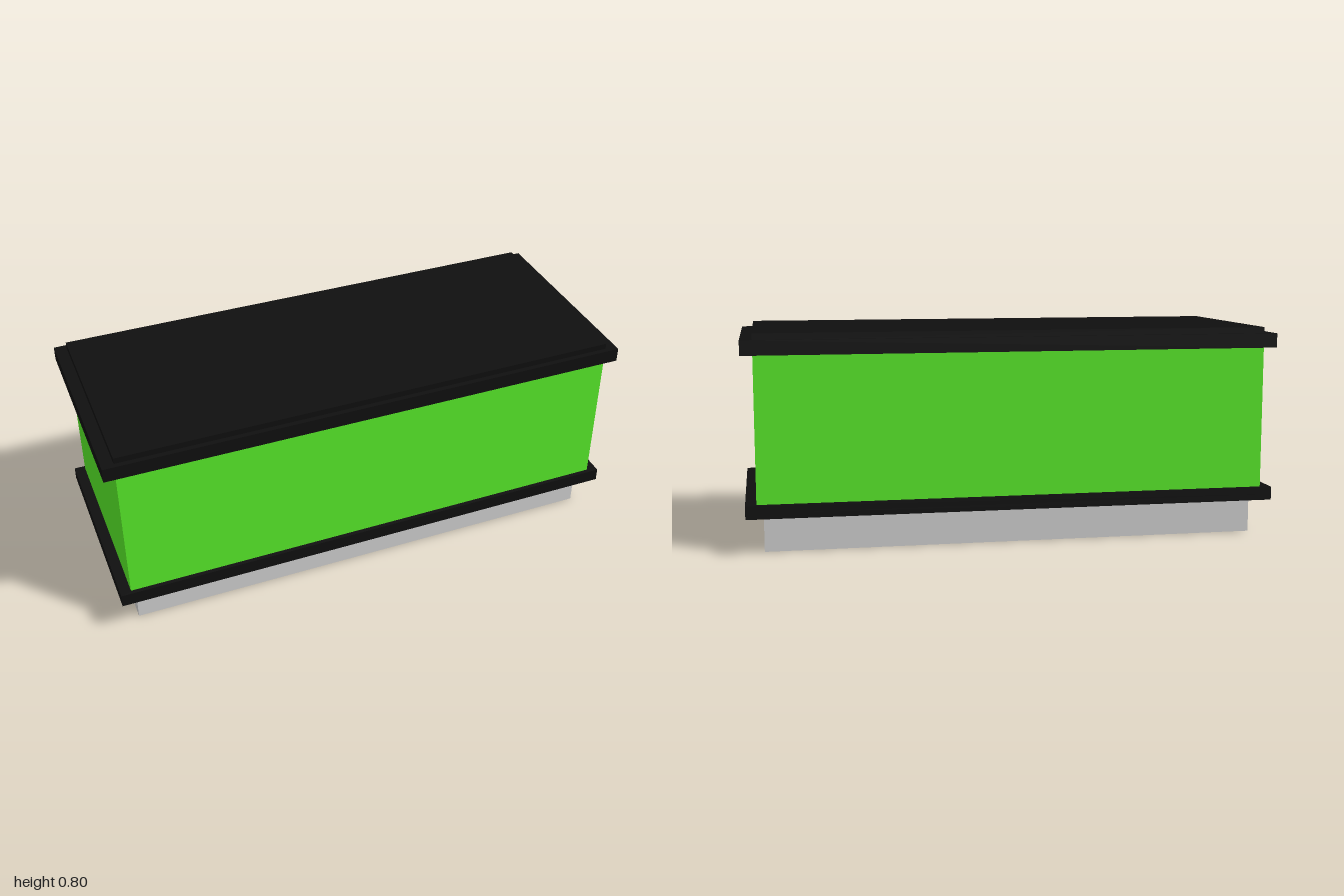
import * as THREE from 'three';

const material = (color) => new THREE.MeshStandardMaterial({ color, side: THREE.DoubleSide });

const rect = (Type, hx, hz) => new Type([
  new THREE.Vector2(-hx, -hz), new THREE.Vector2(hx, -hz),
  new THREE.Vector2(hx, hz), new THREE.Vector2(-hx, hz),
]);

// Flat rectangular frame between two heights; sizes are half extents [x, z]
function frame(name, outer, inner, y0, y1, mat) {
  const shape = rect(THREE.Shape, ...outer);
  shape.holes.push(rect(THREE.Path, ...inner));
  const geo = new THREE.ExtrudeGeometry(shape, { depth: y1 - y0, bevelEnabled: false });
  geo.rotateX(-Math.PI / 2).translate(0, y0, 0);
  const mesh = new THREE.Mesh(geo, mat);
  mesh.name = name;
  return mesh;
}

// Four thin upright walls, open above and below
function walls(name, [hx, hz], y0, y1, mat) {
  const group = new THREE.Group();
  group.name = name;
  for (let i = 0; i < 4; i++) {
    const [width, offset] = i % 2 ? [2 * hz, hx] : [2 * hx, hz];
    const geo = new THREE.PlaneGeometry(width, y1 - y0);
    geo.translate(0, (y0 + y1) / 2, offset).rotateY(i * Math.PI / 2);
    const wall = new THREE.Mesh(geo, mat);
    wall.name = name + 'Wall';
    group.add(wall);
  }
  return group;
}

export function createModel() {
  const model = new THREE.Group();
  model.name = 'box';
  const grey = material(0xcccccc);
  const green = material(0x56e628);
  const black = material(0x0f0f0f);
  const base = [0.93, 0.333];
  const body = [0.955, 0.382];

  // Open plinth and hollow body
  model.add(walls('plinth', base, 0, 0.135, grey));
  model.add(walls('body', body, 0.158, 0.775, green));

  // Lower trim: ledge on the plinth, then a band around the body
  model.add(frame('lowerLedge', [0.995, 0.398], base, 0.135, 0.158, black));
  model.add(frame('lowerTrim', [0.995, 0.398], body, 0.158, 0.185, black));

  // Upper trim and raised lid
  model.add(frame('upperTrim', [1, 0.4], body, 0.723, 0.777, black));
  const lid = new THREE.Mesh(new THREE.BoxGeometry(2 * body[0], 0.025, 2 * body[1]), black);
  lid.name = 'lid';
  lid.position.y = 0.7875;
  model.add(lid);

  return model;
}
